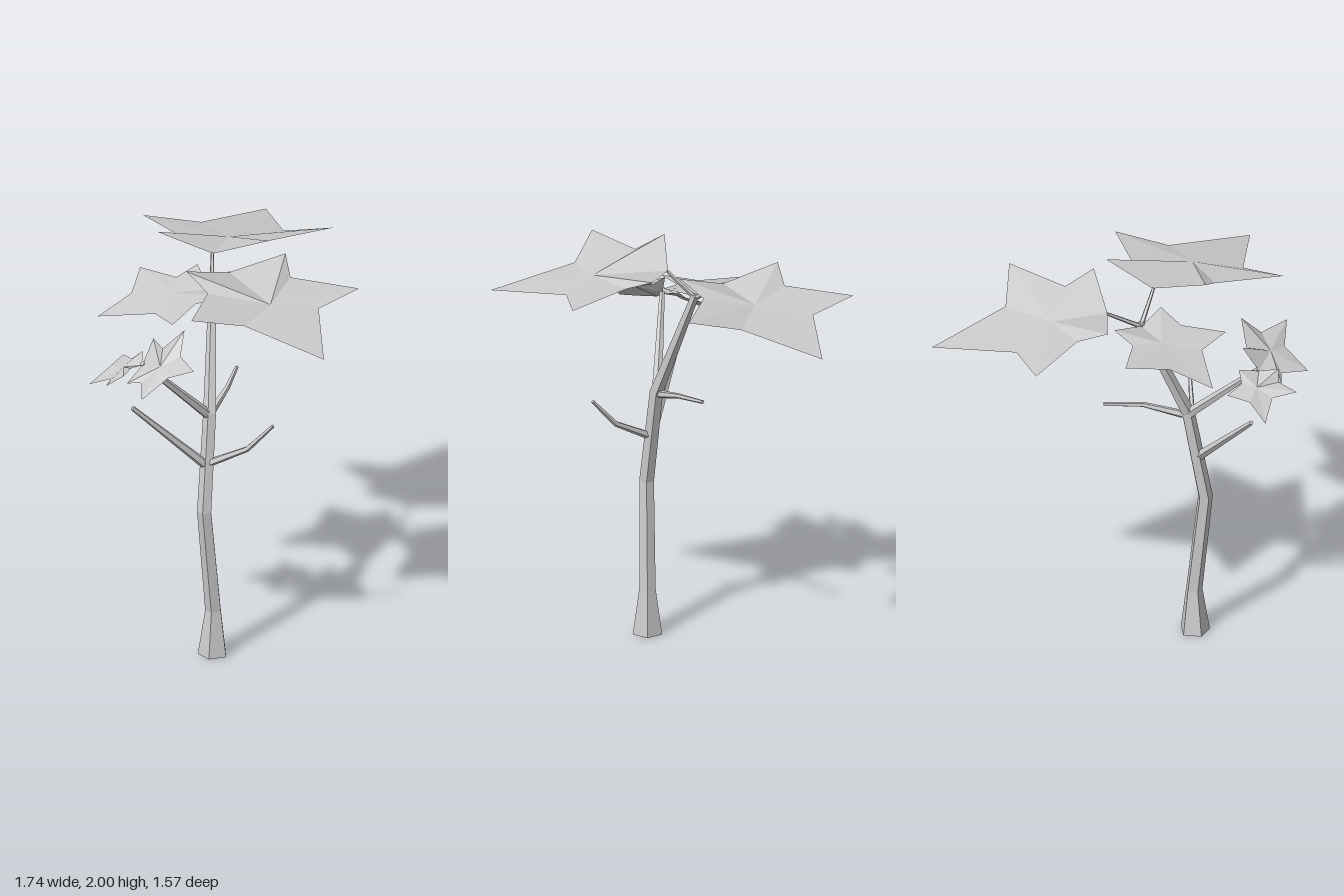
import * as THREE from 'three';

const SIDES = 5;
const wood = new THREE.MeshStandardMaterial({ color: 0xcccccc, flatShading: true });
const foliage = new THREE.MeshStandardMaterial({ color: 0xcccccc, flatShading: true, side: THREE.DoubleSide });

function mesh(name, positions, index, material) {
  let geometry = new THREE.BufferGeometry();
  geometry.setAttribute('position', new THREE.Float32BufferAttribute(positions, 3));
  geometry.setIndex(index);
  geometry = geometry.toNonIndexed();
  geometry.computeVertexNormals();
  const result = new THREE.Mesh(geometry, material);
  result.name = name;
  return result;
}

// Five-sided tapering limb through stations [x, y, z, radius], closed at both ends
function limb(name, stations) {
  const centres = stations.map(([x, y, z]) => new THREE.Vector3(x, y, z));
  const positions = [], index = [], last = stations.length - 1;
  stations.forEach((station, i) => {
    const t = centres[Math.min(i + 1, last)].clone().sub(centres[Math.max(i - 1, 0)]).normalize();
    const n = new THREE.Vector3(0, 0, 1).addScaledVector(t, -t.z).normalize();
    const b = t.clone().cross(n);
    for (let j = 0; j < SIDES; j++) {
      const a = (j + 0.5) / SIDES * Math.PI * 2;
      const p = centres[i].clone()
        .addScaledVector(n, Math.cos(a) * station[3])
        .addScaledVector(b, Math.sin(a) * station[3]);
      positions.push(p.x, p.y, p.z);
      if (i < last) {
        const p0 = i * SIDES + j, p1 = i * SIDES + (j + 1) % SIDES;
        index.push(p0, p1, p1 + SIDES, p0, p1 + SIDES, p0 + SIDES);
      }
    }
  });
  const top = last * SIDES;
  for (let j = 1; j < SIDES - 1; j++) {
    index.push(0, j + 1, j, top, top + j, top + j + 1);
  }
  return mesh(name, positions, index, wood);
}

// Star-shaped leaf: a fan from the centre to a bent outline
function leaf(name, centre, outline) {
  const index = [], count = outline.length;
  for (let i = 0; i < count; i++) index.push(0, i + 1, (i + 1) % count + 1);
  return mesh(name, [centre, ...outline].flat(), index, foliage);
}

export function createModel() {
  const tree = new THREE.Group();
  tree.name = 'tree';

  // Trunk, flared at the foot and leaning back at the top
  tree.add(limb('trunk', [
    [0.12, 0, 0.19, 0.074], [0.12, 0.23, 0.187, 0.041], [0.125, 0.76, 0.245, 0.037],
    [0.077, 1.24, 0.175, 0.034], [-0.11, 1.79, 0.015, 0.02],
  ]));

  // Branches and twigs
  const branches = {
    lowerFrontBranch: [[0.1, 1.0, 0.23, 0.024], [-0.02, 1.34, 0.57, 0.012]],
    upperFrontBranch: [[0.075, 1.23, 0.18, 0.026], [0.055, 1.6, 0.57, 0.013]],
    leftBranch: [[0.11, 1.0, 0.21, 0.02], [0.27, 1.1, 0.1, 0.014], [0.38, 1.24, 0.03, 0.009]],
    backBranch: [[0.06, 1.23, 0.16, 0.02], [-0.03, 1.285, -0.01, 0.013], [-0.15, 1.31, -0.16, 0.009]],
    topLeftStem: [[-0.11, 1.775, 0.02, 0.013], [0.025, 1.915, 0.018, 0.008]],
    topRightStem: [[-0.11, 1.775, 0.02, 0.013], [-0.25, 1.89, -0.09, 0.008]],
  };
  for (const [name, stations] of Object.entries(branches)) tree.add(limb(name, stations));

  // Leaves, each outline starting where it joins its stem
  tree.add(
    leaf('largeLeftLeaf', [0.38, 1.88, 0.045], [
      [0.02, 1.915, 0.015], [0.04, 2.0, 0.29], [0.18, 1.93, 0.27], [0.39, 1.93, 0.53], [0.47, 1.86, 0.27],
      [0.87, 1.78, 0.1], [0.505, 1.85, -0.15], [0.47, 1.87, -0.42], [0.22, 1.9, -0.2], [0.09, 1.96, -0.27],
    ]),
    leaf('largeBackLeaf', [-0.4, 1.865, -0.31], [
      [-0.245, 1.89, -0.09], [-0.04, 1.98, -0.27], [-0.155, 1.915, -0.365], [-0.09, 1.915, -0.7],
      [-0.34, 1.84, -0.59], [-0.73, 1.765, -0.785], [-0.68, 1.83, -0.355], [-0.87, 1.855, -0.15],
      [-0.54, 1.885, -0.1], [-0.505, 1.95, 0.047],
    ]),
    leaf('middleLeaf', [-0.2, 1.775, 0.18], [
      [-0.115, 1.78, 0.025], [-0.29, 1.835, -0.03], [-0.31, 1.79, 0.08], [-0.51, 1.79, 0.145],
      [-0.365, 1.75, 0.31], [-0.345, 1.695, 0.53], [-0.12, 1.74, 0.355], [0.06, 1.755, 0.39],
      [-0.02, 1.78, 0.19], [0.04, 1.81, 0.05],
    ]),
    leaf('smallRightLeaf', [-0.04, 1.56, 0.61], [
      [0.055, 1.59, 0.57], [0.085, 1.61, 0.66], [0.05, 1.56, 0.68], [0.045, 1.535, 0.78], [-0.035, 1.52, 0.69],
      [-0.165, 1.455, 0.72], [-0.135, 1.53, 0.62], [-0.165, 1.555, 0.515], [-0.065, 1.575, 0.54], [-0.025, 1.62, 0.505],
    ]),
    leaf('smallLeftLeaf', [0.19, 1.63, 0.565], [
      [0.055, 1.59, 0.57], [0.04, 1.705, 0.49], [0.1, 1.67, 0.48], [0.18, 1.775, 0.41], [0.245, 1.68, 0.485],
      [0.415, 1.675, 0.535], [0.285, 1.61, 0.59], [0.26, 1.525, 0.73], [0.145, 1.55, 0.645], [0.08, 1.535, 0.68],
    ]),
  );
  return tree;
}
